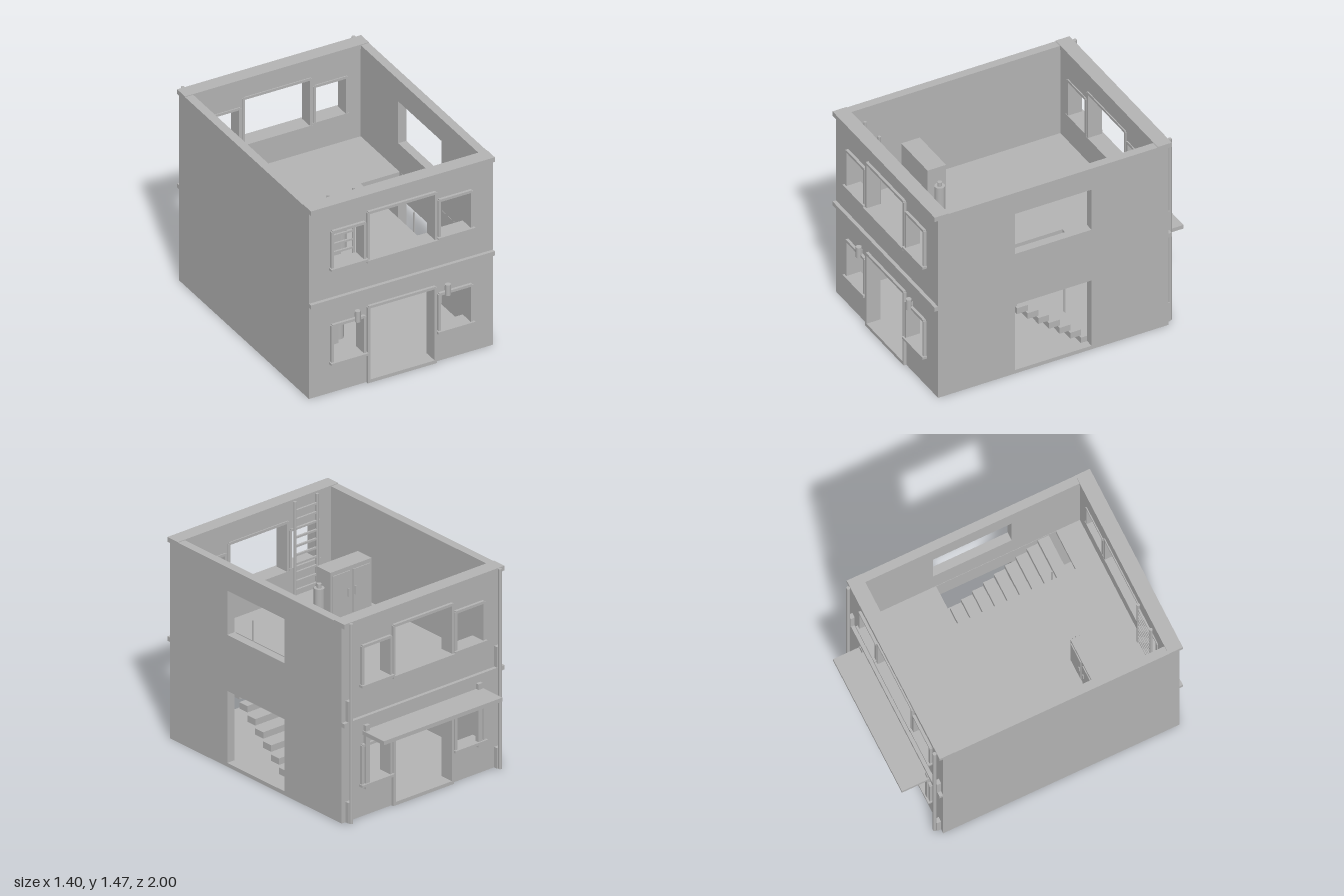
import * as THREE from 'three';

export function createModel() {
  const model = new THREE.Group();
  model.name = 'house';
  const plaster = new THREE.MeshStandardMaterial({ color: 0xb3b3b3 });
  plaster.name = 'plain grey';

  const add = (parent, name, geometry) => {
    const mesh = new THREE.Mesh(geometry, plaster);
    mesh.name = name;
    parent.add(mesh);
    return mesh;
  };
  // Box given by its two extents on each axis
  const box = (parent, name, x0, x1, y0, y1, z0, z1) => {
    const mesh = add(parent, name, new THREE.BoxGeometry(x1 - x0, y1 - y0, z1 - z0));
    mesh.position.set((x0 + x1) / 2, (y0 + y1) / 2, (z0 + z1) / 2);
    return mesh;
  };
  const cylinder = (parent, name, r, x, y0, y1, z, sides = 16) => {
    const mesh = add(parent, name, new THREE.CylinderGeometry(r, r, y1 - y0, sides));
    mesh.position.set(x, (y0 + y1) / 2, z);
    return mesh;
  };
  const points = (list) => list.map(([x, y]) => new THREE.Vector2(x, y));
  const rect = (x0, x1, y0, y1) => points([[x0, y0], [x1, y0], [x1, y1], [x0, y1]]);
  // Flat panel with rectangular holes, extruded from z0 to z1
  const panel = (outline, holes, z0, z1) => {
    const shape = new THREE.Shape(outline);
    for (const h of holes) shape.holes.push(new THREE.Path(rect(...h)));
    return new THREE.ExtrudeGeometry(shape, { depth: z1 - z0, bevelEnabled: false }).translate(0, 0, z0);
  };

  const WALL = 0.078, FLOOR = 0.03, UPPER = 0.755;

  // Front or back wall with its frames, sills and bands; the outer face is at z = 0
  function facade(name, doorTop) {
    const g = new THREE.Group();
    g.name = name;
    const openings = [[-0.245, 0.245, 0.025, doorTop], [-0.247, 0.247, 0.957, 1.306]];
    for (const s of [-1, 1]) {
      for (const [y0, y1] of [[0.242, 0.512], [0.97, 1.238]]) {
        openings.push(s < 0 ? [-0.52, -0.293, y0, y1] : [0.293, 0.52, y0, y1]);
      }
    }
    const cut = openings.map(([a, b, c, d]) => [a - 0.004, b + 0.004, c, d + 0.004]);
    add(g, 'wall', panel(rect(-0.7, 0.7, 0, 1.46), cut, -WALL, 0));
    openings.forEach(([a, b, c, d], i) => {
      const t = 0.019, n = 0.008, door = i === 0;
      const x0 = a - t, x1 = b + t, y0 = door ? 0 : c - 0.01, y1 = d + t;
      // Frame with small notched upper corners
      const outline = points([
        [x0, y0], [x1, y0], [x1, y1 - n], [x1 - n, y1 - n], [x1 - n, y1],
        [x0 + n, y1], [x0 + n, y1 - n], [x0, y1 - n],
      ]);
      add(g, door ? 'doorFrame' : 'windowFrame', panel(outline, [[a, b, c, d]], -WALL - 0.008, 0.02));
      if (!door) box(g, 'windowSill', a - 0.027, b + 0.027, c - 0.018, c, -WALL - 0.01, 0.035);
    });
    box(g, 'floorBand', -0.7, 0.7, 0.705, 0.737, -0.01, 0.026);
    box(g, 'parapetCap', -0.7, 0.7, 1.43, 1.465, -WALL - 0.002, 0.026);
    model.add(g);
    return g;
  }
  const front = facade('frontFacade', 0.575);
  front.position.z = 0.955;
  const back = facade('backFacade', 0.53);
  back.rotation.y = Math.PI;
  back.position.z = -0.785;

  // Side walls: plain on the right of the house, two openings on the left
  box(model, 'plainSideWall', -0.7, -0.638, 0, 1.46, -0.708, 0.878);
  const sideHoles = [[-0.375, 0.205, 0.028, 0.556], [-0.375, 0.205, 0.966, 1.29]];
  const sideWall = add(model, 'openSideWall', panel(rect(-0.878, 0.708, 0, 1.46), sideHoles, 0, 0.062));
  sideWall.rotation.y = Math.PI / 2;
  sideWall.position.x = 0.638;

  // Ground slab and upper floor with the stairwell hole
  box(model, 'groundFloor', -0.64, 0.64, 0, FLOOR - 0.005, -0.71, 0.88);
  const floor = add(model, 'upperFloor',
    panel(rect(-0.64, 0.64, -0.88, 0.71), [[0.34, 0.636, -0.70, 0.183]], 0, 0.035));
  floor.rotation.x = -Math.PI / 2;
  floor.position.y = UPPER - 0.035;

  // Open staircase rising toward the front, with a post on every third step
  const stairs = new THREE.Group();
  stairs.name = 'stairs';
  model.add(stairs);
  for (let i = 0; i < 11; i++) {
    const z = -0.24 + i * 0.0805, top = 0.07 + i * 0.067;
    box(stairs, 'step', 0.342, 0.638, top - 0.047, top, z, z + 0.0815);
    if (i % 3 === 0) cylinder(stairs, 'railPost', 0.007, 0.344, top - 0.01, top + 0.235, z + 0.042, 8);
  }

  // Cabinet with two doors, and a canister beside it, on each storey
  function storage(x, y, z) {
    const g = new THREE.Group();
    g.name = 'storage';
    box(g, 'cabinet', -0.18, 0.18, 0, 0.375, -0.07, 0.07);
    for (const s of [-1, 1]) {
      box(g, 'cabinetDoor', s * 0.088 - 0.075, s * 0.088 + 0.075, 0.03, 0.345, -0.077, -0.068);
      box(g, 'doorHandle', s * 0.03 - 0.006, s * 0.03 + 0.006, 0.16, 0.22, -0.084, -0.076);
    }
    cylinder(g, 'canister', 0.036, 0.219, 0, 0.255, 0);
    cylinder(g, 'canisterNeck', 0.016, 0.219, 0.25, 0.286, 0);
    g.position.set(x, y, z);
    model.add(g);
  }
  storage(-0.38, 0.027, 0.4);
  storage(-0.395, UPPER, 0.46);

  // Ladder leaning flat against the inside of the front wall
  const ladder = new THREE.Group();
  ladder.name = 'ladder';
  model.add(ladder);
  for (const x of [-0.494, -0.3]) cylinder(ladder, 'ladderRail', 0.011, x, UPPER, 1.462, 0.848, 8);
  for (let i = 0; i < 10; i++) {
    const y = 0.809 + i * 0.0648;
    box(ladder, 'rung', -0.49, -0.304, y - 0.007, y + 0.007, 0.841, 0.855);
  }

  for (const s of [-1, 1]) {
    // Front wall lamps
    cylinder(model, 'wallLamp', 0.02, s * 0.343, 0.508, 0.59, 0.98);
    box(model, 'lampMount', s * 0.343 - 0.01, s * 0.343 + 0.01, 0.535, 0.565, 0.95, 0.975);
    // Drainpipes with their wall brackets
    cylinder(model, 'drainpipe', 0.013, s * 0.65, 0, 1.462, -0.824, 12);
    for (const y of [0, 0.74]) {
      box(model, 'pipeBracket', s * 0.65 - 0.018, s * 0.65 + 0.018, y, y + 0.15, -0.815, -0.78);
    }
    // Posts and brackets carrying the back awning
    box(model, 'awningPost', s * 0.492 - 0.018, s * 0.492 + 0.018, 0.2, 0.665, -0.81, -0.78);
    box(model, 'awningBracket', s * 0.39 - 0.03, s * 0.39 + 0.03, 0.548, 0.596, -0.912, -0.78);
  }
  box(model, 'awning', -0.518, 0.518, 0.594, 0.623, -1, -0.78);

  return model;
}
